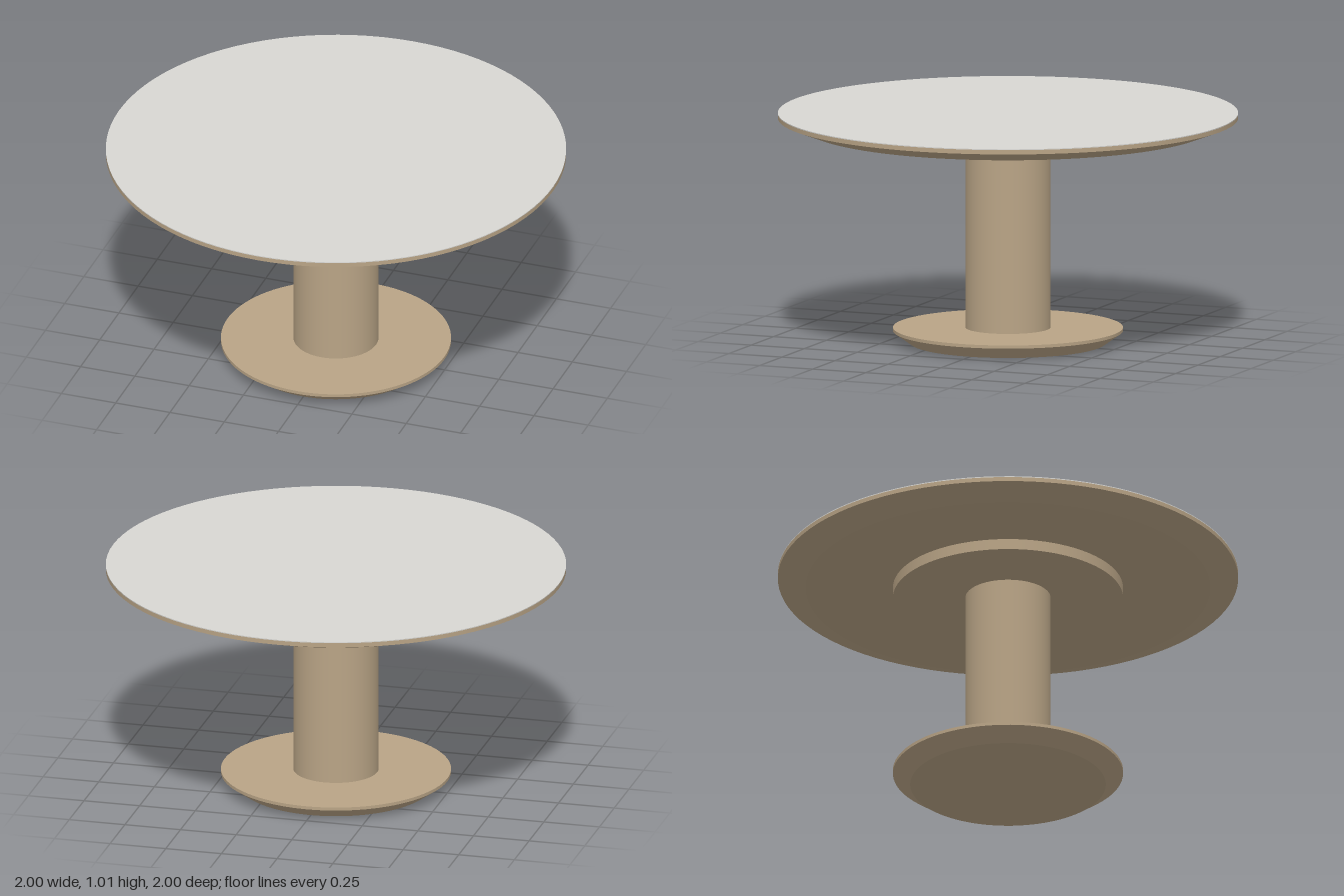
import * as THREE from 'three';

const SEGMENTS = 96;

export function createModel() {
  const wood = new THREE.MeshStandardMaterial({ color: 0xb9a486 });
  wood.name = 'tan wood';
  const stone = new THREE.MeshStandardMaterial({ color: 0xd8d7d3 });
  stone.name = 'pale grey top';

  const table = new THREE.Group();
  table.name = 'pedestalTable';

  // Round section between two heights; equal radii give a straight side
  const section = (parent, name, rBottom, rTop, y0, y1, material = wood) => {
    const geometry = new THREE.CylinderGeometry(rTop, rBottom, y1 - y0, SEGMENTS);
    const mesh = new THREE.Mesh(geometry, material);
    mesh.name = name;
    mesh.position.y = (y0 + y1) / 2;
    parent.add(mesh);
  };

  // Disc with a straight rim above a chamfered underside
  const chamferedDisc = (name, rInner, rOuter, y0, yRim, y1) => {
    const disc = new THREE.Group();
    disc.name = name;
    section(disc, name + 'Chamfer', rInner, rOuter, y0, yRim);
    section(disc, name + 'Rim', rOuter, rOuter, yRim, y1);
    table.add(disc);
    return disc;
  };

  // Foot and column
  chamferedDisc('base', 0.425, 0.5, 0, 0.053, 0.067);
  section(table, 'column', 0.185, 0.185, 0.067, 0.895);

  // Support plate under the tabletop
  section(table, 'supportPlate', 0.5, 0.5, 0.895, 0.943);

  // Tabletop with a thin grey surface
  const top = chamferedDisc('tabletop', 0.88, 1, 0.943, 0.988, 1.007);
  section(top, 'topSurface', 1, 1, 1.007, 1.011, stone);

  return table;
}
